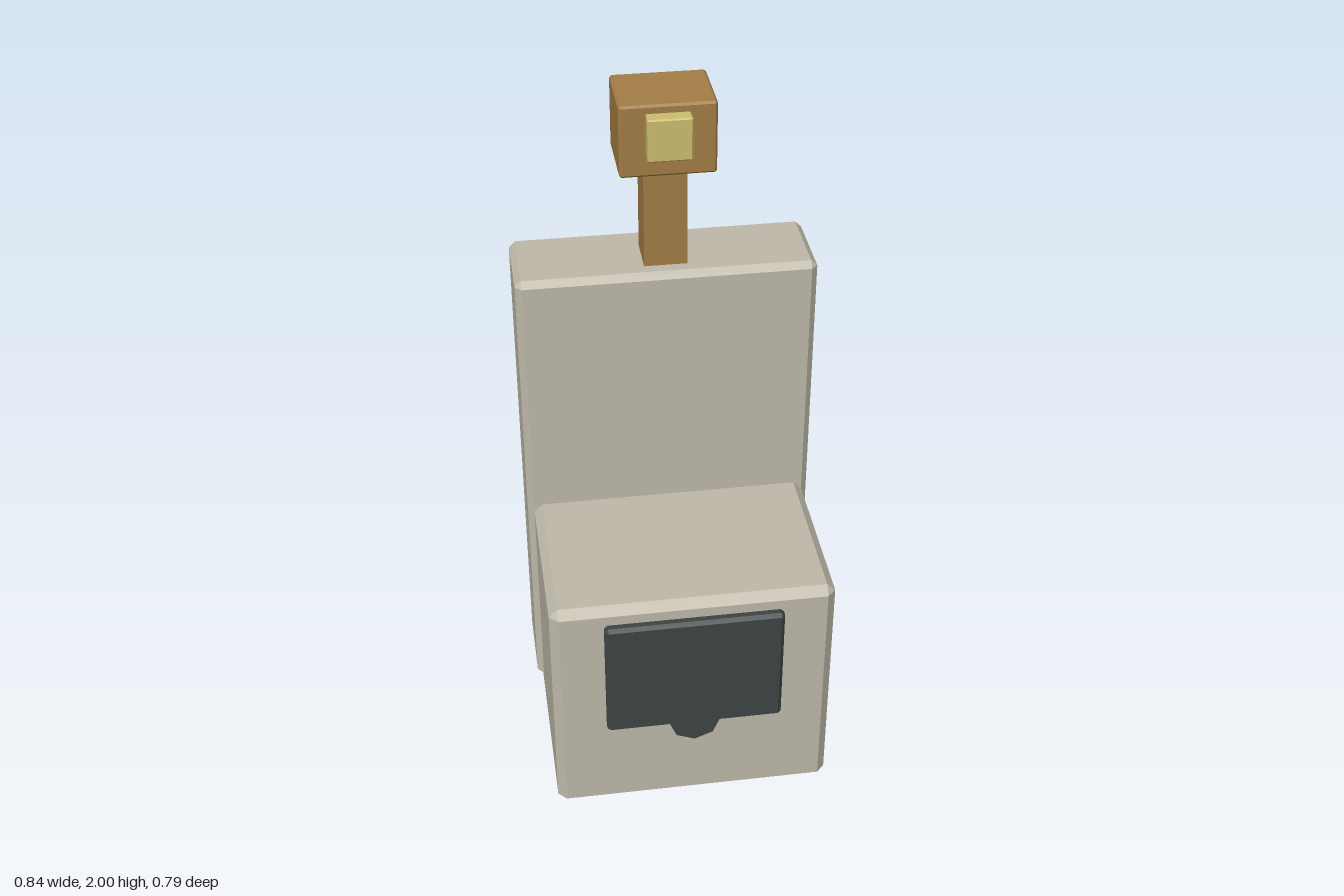
import * as THREE from 'three';
import { ConvexGeometry } from 'three/addons/geometries/ConvexGeometry.js';

const material = (name, color) => {
  const m = new THREE.MeshStandardMaterial({ color });
  m.name = name;
  return m;
};

// Box with bevelled edges, given by its min and max corners
function bevelBox(name, mat, min, max, bevel) {
  const half = max.map((v, i) => (v - min[i]) / 2);
  const centre = max.map((v, i) => (v + min[i]) / 2);
  const points = [];
  for (const sx of [-1, 1]) for (const sy of [-1, 1]) for (const sz of [-1, 1]) {
    const s = [sx, sy, sz];
    for (let axis = 0; axis < 3; axis++) {
      points.push(new THREE.Vector3(...s.map((k, i) => k * (half[i] - (i === axis ? 0 : bevel)))));
    }
  }
  const mesh = new THREE.Mesh(new ConvexGeometry(points), mat);
  mesh.name = name;
  mesh.position.set(...centre);
  return mesh;
}

export function createModel() {
  const group = new THREE.Group();
  group.name = 'model';
  const stone = material('warm grey', 0xbeb9a9);
  const brown = material('brown', 0xa37d45);
  const dark = material('dark slate', 0x3d4444);
  const yellow = material('pale yellow', 0xcbbd6e);

  // Base block and tall back slab
  group.add(bevelBox('base', stone, [-0.402, 0, -0.33], [0.402, 0.742, 0.367], 0.024));
  group.add(bevelBox('backSlab', stone, [-0.42, 0.055, -0.395], [0.42, 1.495, -0.135], 0.018));

  // Post rising from the slab
  const post = new THREE.Mesh(new THREE.BoxGeometry(0.12, 0.36, 0.12), brown);
  post.name = 'post';
  post.position.set(0, 1.63, -0.245);
  group.add(post);

  // Head block with its front plate
  group.add(bevelBox('head', brown, [-0.13, 1.797, -0.333], [0.13, 2, -0.125], 0.006));
  group.add(bevelBox('headPlate', yellow, [-0.06, 1.857, -0.135], [0.06, 1.977, -0.085], 0.004));

  // Front panel and the eight-sided disc peeking out below it
  group.add(bevelBox('frontPanel', dark, [-0.253, 0.303, 0.355], [0.253, 0.688, 0.393], 0.01));
  const discGeometry = new THREE.CylinderGeometry(0.075, 0.075, 0.03, 8).toNonIndexed();
  discGeometry.rotateX(Math.PI / 2);
  discGeometry.computeVertexNormals();
  const disc = new THREE.Mesh(discGeometry, dark);
  disc.name = 'panelDisc';
  disc.position.set(0, 0.315, 0.374);
  group.add(disc);

  return group;
}
